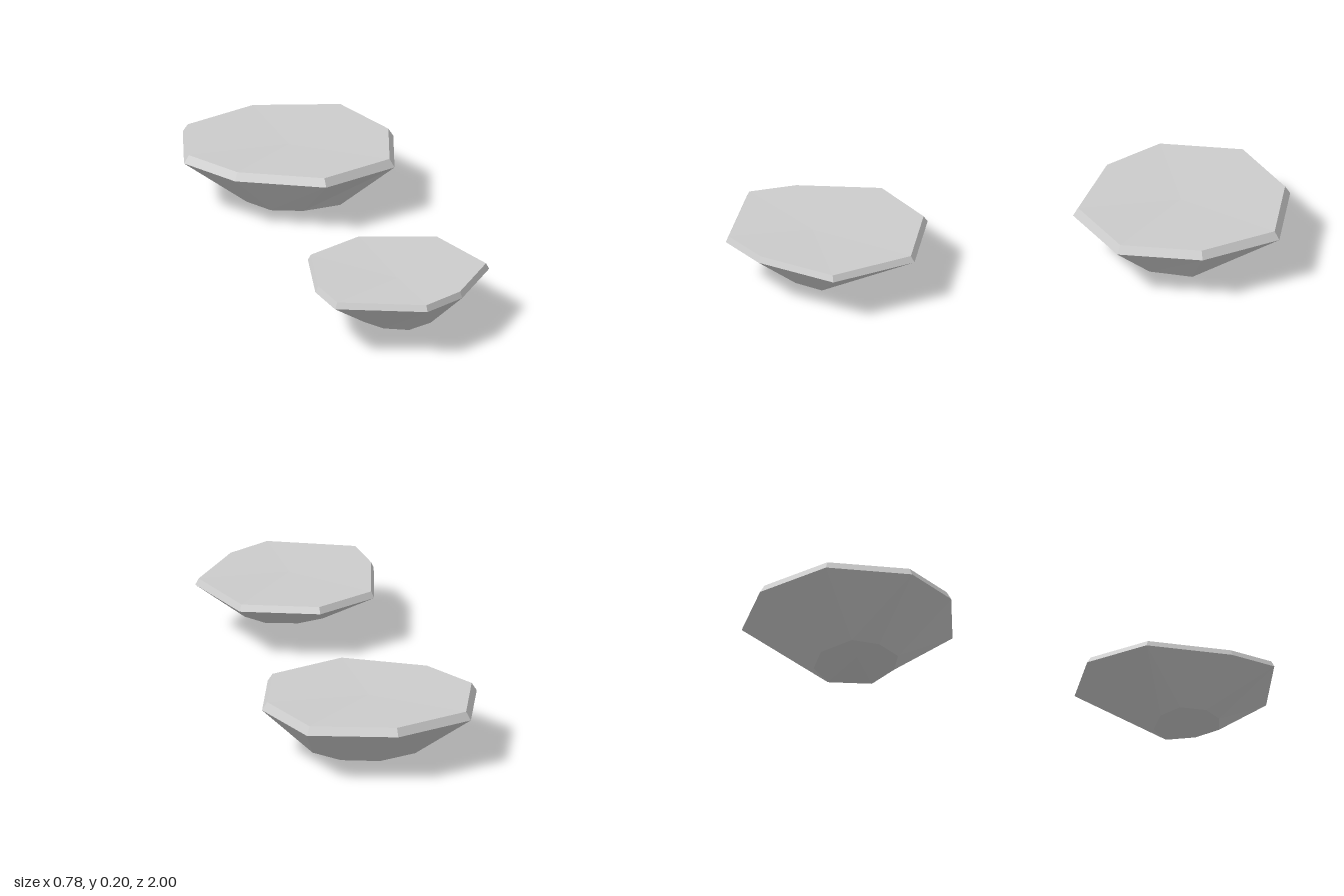
import * as THREE from 'three';

// Faceted stone from stacked eight-sided loops: bottom, rim, bevelled top.
// Loops run back, right-back, +x, ... ; caps are fans around slightly sunken centres.
function makeStone(name, { center, rim, base, rimY, topY, baseY, inset }) {
  const [cx, cz] = center;
  const loop = (pts, y) => pts.map(([x, z]) => [x, y, z]);
  const top = rim.map(([x, z]) => [cx + (x - cx) * inset, cz + (z - cz) * inset]);
  const loops = [loop(base, baseY), loop(rim, rimY), loop(top, topY)];
  const topMid = [cx, topY - 0.008, cz];
  const baseMid = [cx, baseY + 0.015, cz];
  const pos = [];
  const tri = (a, b, c) => pos.push(...a, ...b, ...c);

  const n = rim.length;
  for (let i = 0; i < n; i++) {
    const j = (i + 1) % n;
    // sloping sides and bevel
    for (let k = 0; k < 2; k++) {
      const lo = loops[k], hi = loops[k + 1];
      tri(lo[j], lo[i], hi[i]);
      tri(lo[j], hi[i], hi[j]);
    }
    // caps
    tri(topMid, loops[2][j], loops[2][i]);
    tri(baseMid, loops[0][i], loops[0][j]);
  }

  const geo = new THREE.BufferGeometry();
  geo.setAttribute('position', new THREE.Float32BufferAttribute(pos, 3));
  geo.computeVertexNormals();
  const mesh = new THREE.Mesh(geo, new THREE.MeshStandardMaterial({ color: 0xcccccc, flatShading: true }));
  mesh.name = name;
  return mesh;
}

export function createModel() {
  const group = new THREE.Group();
  group.name = 'steppingStones';

  // larger stone at the back
  group.add(makeStone('backStone', {
    center: [0, -0.61],
    rim: [[0, -1], [0.305, -0.9], [0.388, -0.61], [0.29, -0.325], [0, -0.225], [-0.28, -0.39], [-0.39, -0.61], [-0.29, -0.9]],
    base: [[0, -0.755], [0.13, -0.71], [0.205, -0.61], [0.14, -0.47], [0, -0.46], [-0.105, -0.505], [-0.157, -0.61], [-0.14, -0.71]],
    rimY: 0.175, topY: 0.204, baseY: 0.0, inset: 0.953,
  }));

  // smaller stone at the front
  group.add(makeStone('frontStone', {
    center: [-0.065, 0.69],
    rim: [[-0.065, 0.28], [0.2, 0.38], [0.278, 0.685], [0.095, 0.915], [-0.065, 1], [-0.36, 0.865], [-0.37, 0.69], [-0.29, 0.39]],
    base: [[-0.065, 0.575], [0.045, 0.61], [0.098, 0.69], [0.03, 0.77], [-0.065, 0.81], [-0.145, 0.765], [-0.185, 0.69], [-0.16, 0.6]],
    rimY: 0.173, topY: 0.195, baseY: 0.035, inset: 0.965,
  }));

  return group;
}
